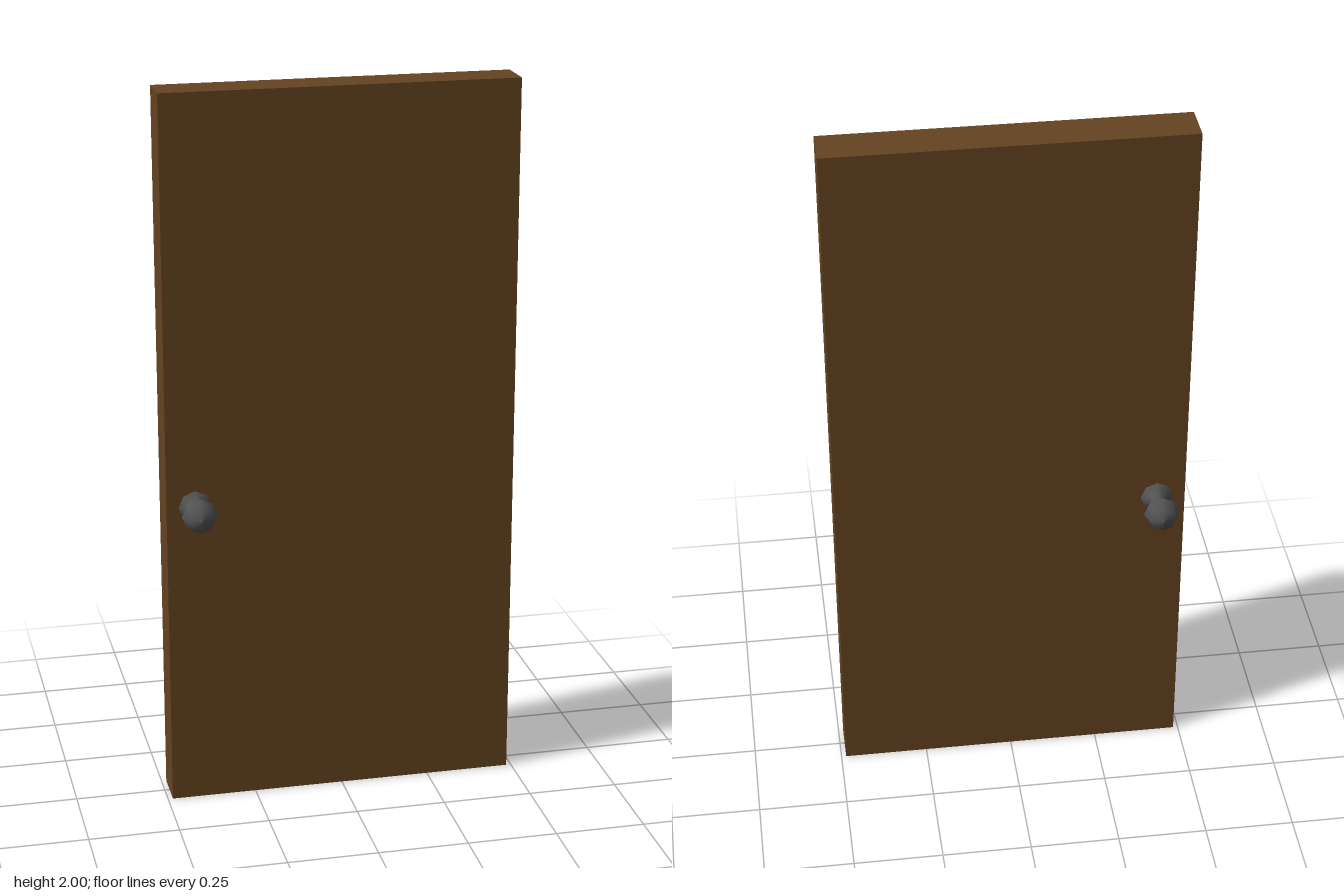
import * as THREE from 'three';

export function createModel() {
  const model = new THREE.Group();
  const wood = new THREE.MeshStandardMaterial({ color: 0x654321 });
  wood.name = 'brown wood';
  const metal = new THREE.MeshStandardMaterial({ color: 0x555555 });
  metal.name = 'dark metal';

  // Plain door slab
  const thickness = 0.116;
  const slab = new THREE.Mesh(new THREE.BoxGeometry(0.973, 2, thickness), wood);
  slab.name = 'doorSlab';
  slab.position.y = 1;
  model.add(slab);

  // Eight-sided knob: flange, neck and ball, as radius and distance from the door
  const profile = [
    [0.045, 0], [0.045, 0.006], [0.024, 0.019], [0.024, 0.044],
    [0.049, 0.076], [0.036, 0.110], [0, 0.121],
  ].map(([r, d]) => new THREE.Vector2(r, d));
  const knobGeometry = new THREE.LatheGeometry(profile, 8);

  // One knob on each face
  for (const side of [1, -1]) {
    const knob = new THREE.Mesh(knobGeometry, metal);
    knob.name = side > 0 ? 'frontKnob' : 'backKnob';
    knob.position.set(-0.408, 0.866, side * thickness / 2);
    knob.rotation.x = side * Math.PI / 2;
    model.add(knob);
  }
  return model;
}
